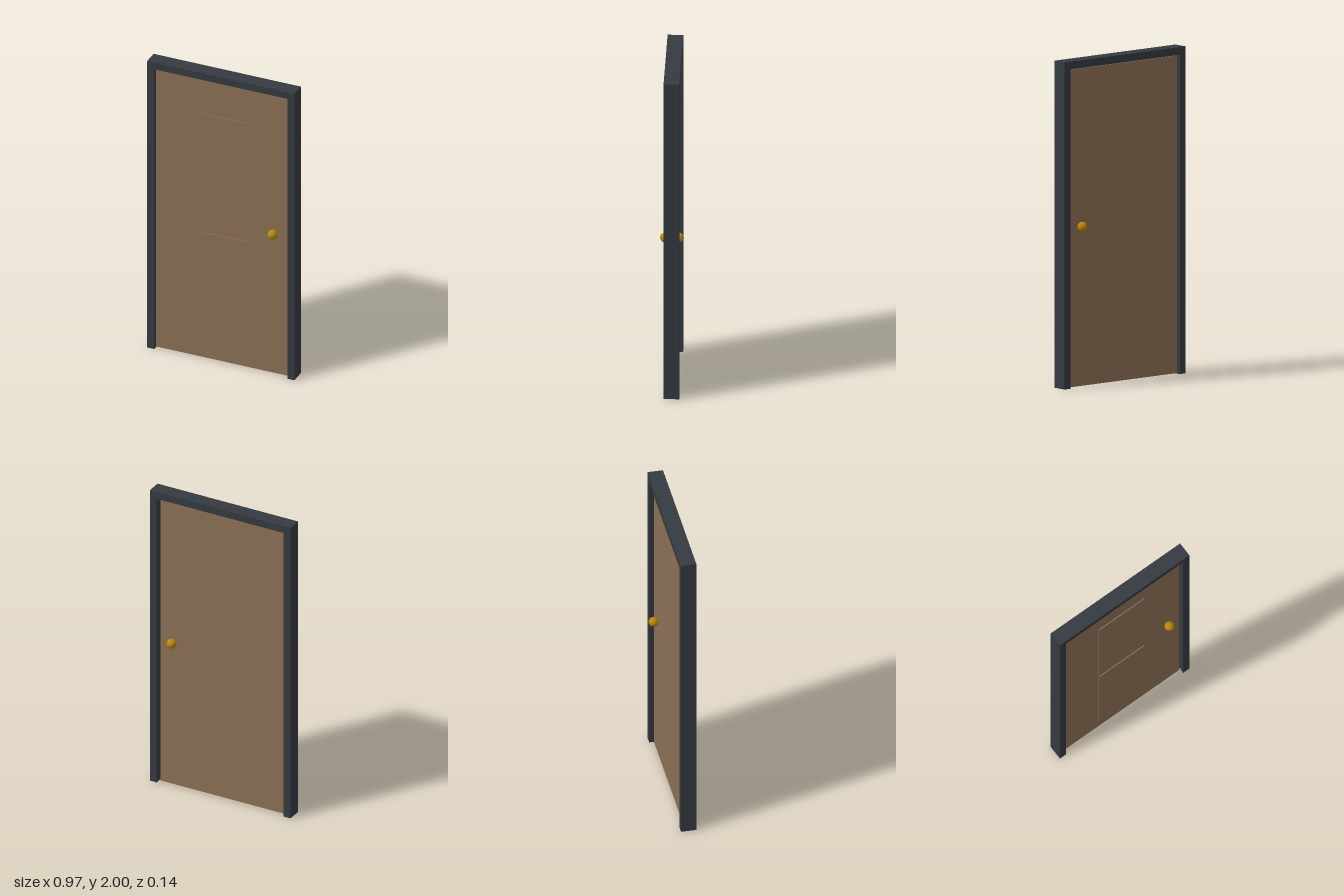
import * as THREE from 'three';

const material = (name, color) => {
  const m = new THREE.MeshStandardMaterial({ color });
  m.name = name;
  return m;
};

export function createModel() {
  const model = new THREE.Group();
  model.name = 'door';
  const slate = material('slate frame', 0x343a40);
  const wood = material('brown wood', 0x8b6f54);
  const brass = material('brass', 0xb8860b);

  const add = (name, geometry, mat, x = 0, y = 0, z = 0) => {
    const mesh = new THREE.Mesh(geometry, mat);
    mesh.name = name;
    mesh.position.set(x, y, z);
    model.add(mesh);
  };

  // Frame: two jambs joined by a header, open at the floor
  const outer = 0.487, inner = 0.44, lintel = 1.953, depth = 0.095;
  const outline = new THREE.Shape([
    [-outer, 0], [-inner, 0], [-inner, lintel], [inner, lintel],
    [inner, 0], [outer, 0], [outer, 2], [-outer, 2],
  ].map(([x, y]) => new THREE.Vector2(x, y)));
  add('frame', new THREE.ExtrudeGeometry(outline, { depth, bevelEnabled: false }),
    slate, 0, 0, -depth / 2);

  // Leaf, hung against the right jamb with a small gap on the latch side and top
  const leafX = -0.006, leafFront = 0.019;
  add('leaf', new THREE.BoxGeometry(0.868, 1.942, leafFront * 2), wood, leafX, 0.974, 0);

  // Two raised panels on the front only
  for (const [name, y] of [['upperPanel', 1.315], ['lowerPanel', 0.488]]) {
    add(name, new THREE.BoxGeometry(0.342, 0.778, 0.008), wood, leafX, y, leafFront + 0.002);
  }

  // A round knob on each side
  for (const [name, side] of [['frontKnob', 1], ['backKnob', -1]]) {
    add(name, new THREE.SphereGeometry(0.03, 32, 20), brass, 0.34, 0.98, side * 0.042);
  }

  return model;
}
